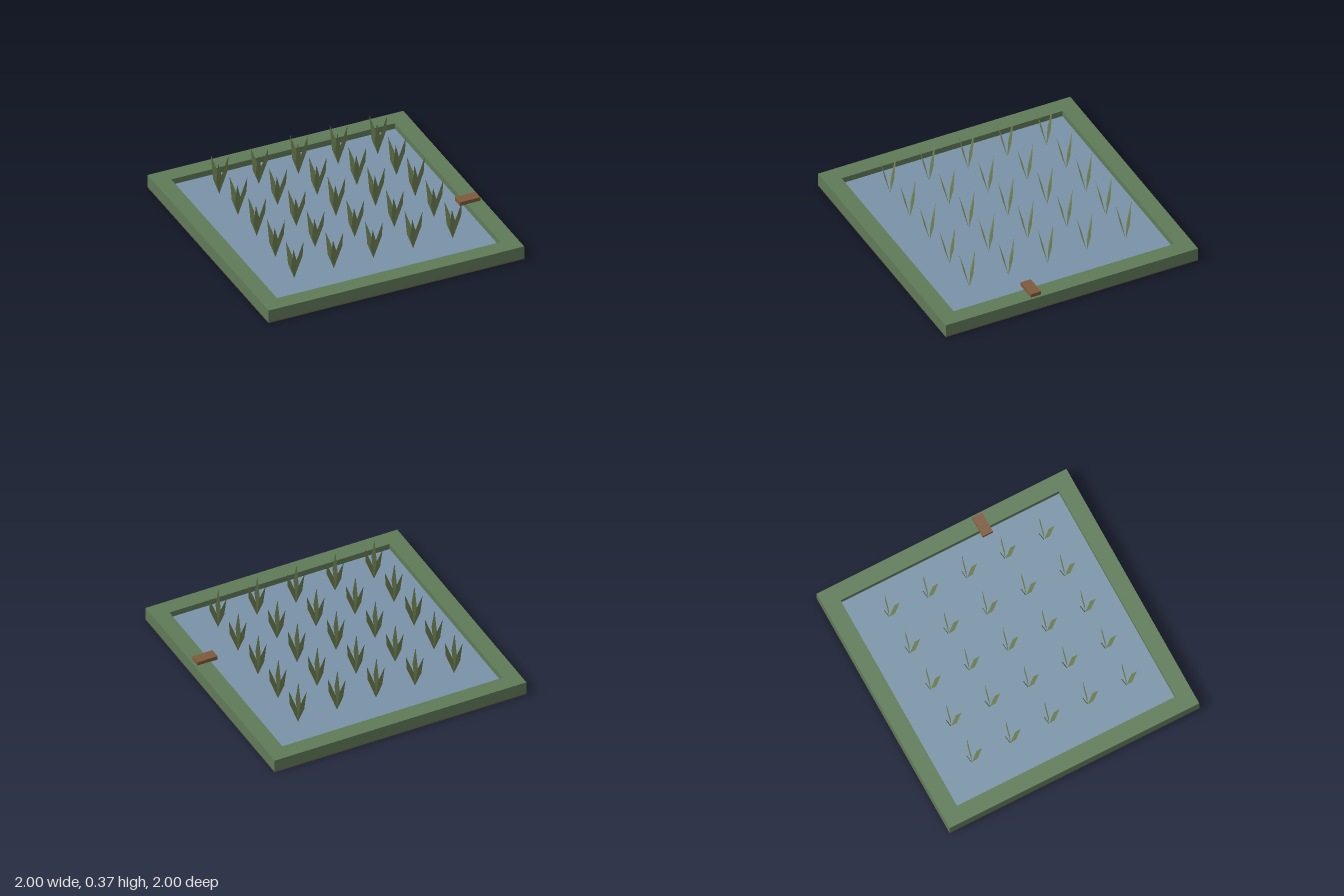
import * as THREE from 'three';

const mat = (color, extra = {}) => new THREE.MeshStandardMaterial({ color, flatShading: true, ...extra });

function addBox(group, name, size, pos, material) {
  const mesh = new THREE.Mesh(new THREE.BoxGeometry(...size), material);
  mesh.position.set(...pos);
  mesh.name = name;
  group.add(mesh);
}

// One skewed diamond leaf, its width along x, leaning out in direction a
function bladeGeometry(a, height) {
  const reach = 0.073, halfWidth = 0.022;
  const at = (t, w) => [Math.cos(a) * reach * t + w, height * t, Math.sin(a) * reach * t];
  const base = at(0, 0), left = at(0.4, -halfWidth), right = at(0.6, halfWidth), tip = at(1, 0);
  const geo = new THREE.BufferGeometry();
  geo.setAttribute('position', new THREE.Float32BufferAttribute([...base, ...right, ...left, ...left, ...right, ...tip], 3));
  geo.computeVertexNormals();
  return geo;
}

export function createModel() {
  const model = new THREE.Group();
  model.name = 'floodedField';
  const waterY = 0.06, rimY = 0.105, soilY = 0.008, inner = 0.875;

  // Soil slab
  addBox(model, 'soil', [2, soilY, 2], [0, soilY / 2, 0], mat(0x6b5a48));

  // Raised bank around the water
  const outline = new THREE.Shape([[-1, -1], [1, -1], [1, 1], [-1, 1]].map(p => new THREE.Vector2(...p)));
  outline.holes.push(new THREE.Path([[-1, -1], [-1, 1], [1, 1], [1, -1]].map(([x, y]) => new THREE.Vector2(x * inner, y * inner))));
  const bankGeo = new THREE.ExtrudeGeometry(outline, { depth: rimY - soilY, bevelEnabled: false });
  bankGeo.rotateX(-Math.PI / 2).translate(0, soilY, 0);
  const bank = new THREE.Mesh(bankGeo, mat(0x5f7a58));
  bank.name = 'bank';
  model.add(bank);

  // Water surface
  const water = new THREE.Mesh(new THREE.PlaneGeometry(2 * inner, 2 * inner).rotateX(-Math.PI / 2), mat(0x7a93a8));
  water.position.y = waterY;
  water.name = 'water';
  model.add(water);

  // Wooden sluice block on the bank
  addBox(model, 'sluiceGate', [0.16, 0.03, 0.08], [0.9, rimY + 0.013, 0.275], mat(0x7d5a3c));

  // Rows of three-leaved seedlings with slightly varied heights
  const leafMat = mat(0x6f8052, { side: THREE.DoubleSide });
  const columnTop = [0.36, 0.34, 0.365, 0.365, 0.365];
  const rowTop = [0.36, 0.355, 0.365, 0.35, 0.345];
  for (let i = 0; i < 5; i++) {
    for (let j = 0; j < 5; j++) {
      const plant = new THREE.Group();
      plant.name = 'seedling';
      plant.position.set((i - 2) * 0.31, waterY, (j - 2) * 0.31);
      const height = Math.min(columnTop[i], rowTop[j]) - waterY;
      for (let k = 0; k < 3; k++) {
        const blade = new THREE.Mesh(bladeGeometry(k * 2 * Math.PI / 3, height), leafMat);
        blade.name = 'leaf';
        plant.add(blade);
      }
      model.add(plant);
    }
  }
  return model;
}
